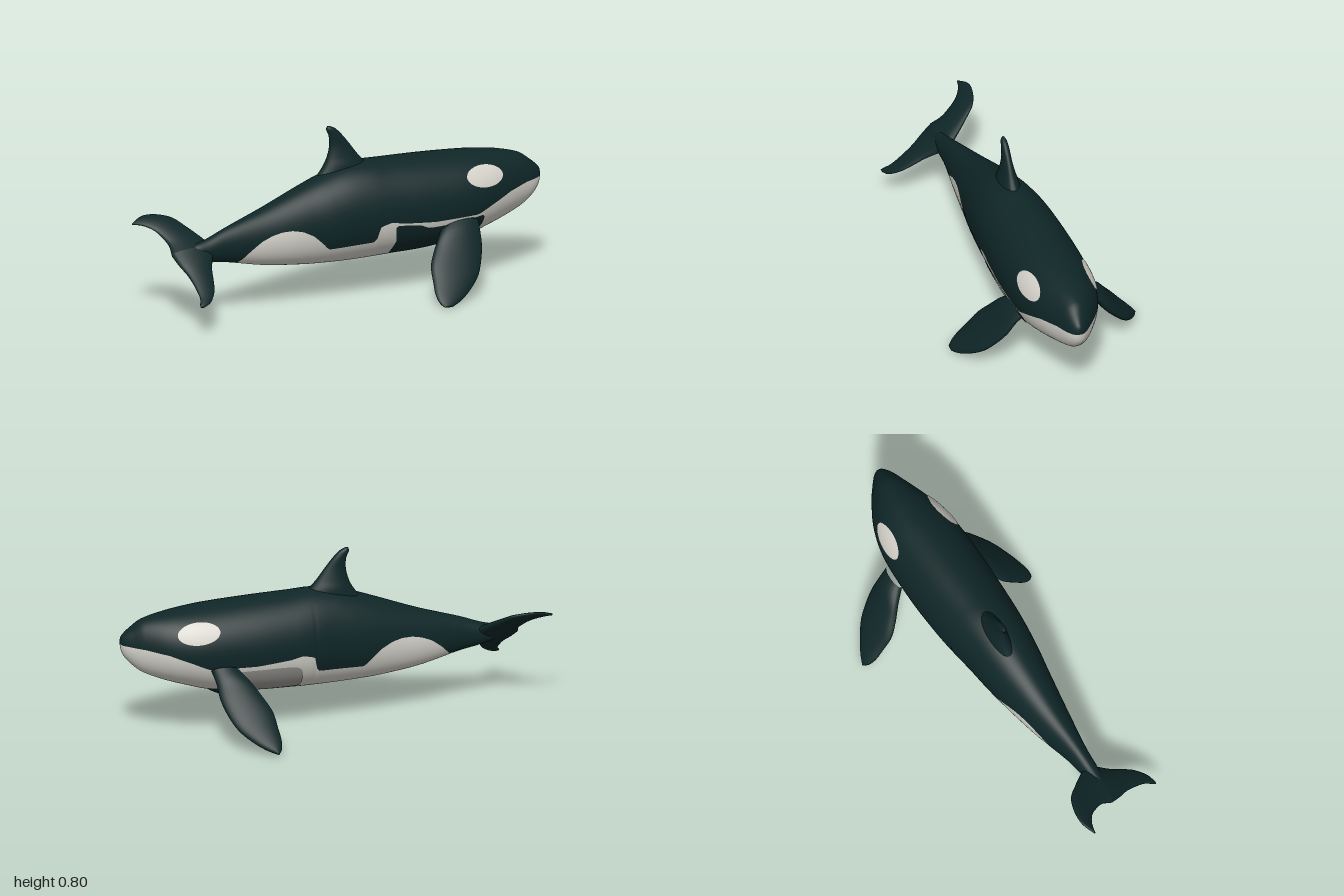
import * as THREE from 'three';

const dark = new THREE.MeshStandardMaterial({ color: 0x0f2627 });
dark.name = 'dark teal skin';
const pale = new THREE.MeshStandardMaterial({ color: 0xd6d4cc });
pale.name = 'pale belly';
const grey = new THREE.MeshStandardMaterial({ color: 0x9a9894 });
grey.name = 'grey flank';

// Body stations: x, top y, bottom y, z min, z max
const stations = [
  [-0.82, 0.32, 0.32, 0.12, 0.12], [-0.77, 0.352, 0.288, 0.095, 0.145],
  [-0.7, 0.372, 0.268, 0.077, 0.152], [-0.6, 0.41, 0.25, 0.055, 0.153],
  [-0.4, 0.475, 0.205, -0.01, 0.172], [-0.2, 0.55, 0.18, -0.065, 0.192],
  [-0.1, 0.585, 0.174, -0.088, 0.203], [0, 0.613, 0.17, -0.107, 0.21],
  [0.1, 0.624, 0.169, -0.128, 0.214], [0.2, 0.62, 0.17, -0.145, 0.215],
  [0.4, 0.612, 0.176, -0.165, 0.212], [0.6, 0.6, 0.2, -0.17, 0.198],
  [0.7, 0.59, 0.228, -0.16, 0.176], [0.8, 0.575, 0.26, -0.13, 0.138],
  [0.9, 0.548, 0.302, -0.077, 0.092], [0.95, 0.512, 0.342, -0.042, 0.07],
  [0.98, 0.486, 0.378, -0.018, 0.05], [0.993, 0.47, 0.408, -0.002, 0.034],
  [1, 0.448, 0.448, 0.016, 0.016],
];

// Height of the colour border along the flank: x, y
const border = [
  [-0.82, 0], [-0.57, 0.2], [-0.55, 0.245], [-0.5, 0.3], [-0.45, 0.34], [-0.4, 0.363],
  [-0.35, 0.376], [-0.3, 0.378], [-0.25, 0.368], [-0.2, 0.343], [-0.15, 0.298],
  [-0.12, 0.266], [0.1, 0.275], [0.115, 0.295], [0.125, 0.35], [0.18, 0.365],
  [0.24, 0.352], [0.4, 0.338], [0.62, 0.34], [0.7, 0.375], [0.8, 0.412], [0.9, 0.43], [1, 0.436],
];

function segment(table, x) {
  let i = 0;
  while (i < table.length - 2 && x > table[i + 1][0]) i++;
  return i;
}

// Smooth (Hermite) value of one station column at x
function profile(x, col) {
  const i = segment(stations, x);
  const slope = (k) => {
    const a = stations[Math.max(k - 1, 0)], b = stations[Math.min(k + 1, stations.length - 1)];
    return (b[col] - a[col]) / (b[0] - a[0]);
  };
  const a = stations[i], b = stations[i + 1], w = b[0] - a[0], t = (x - a[0]) / w;
  const t2 = t * t, t3 = t2 * t;
  return (2 * t3 - 3 * t2 + 1) * a[col] + (t3 - 2 * t2 + t) * w * slope(i)
    + (3 * t2 - 2 * t3) * b[col] + (t3 - t2) * w * slope(i + 1);
}

function ellipse(x) {
  const [top, bottom, z0, z1] = [1, 2, 3, 4].map((c) => profile(x, c));
  return { y: (top + bottom) / 2, h: Math.max((top - bottom) / 2, 1e-5), z: (z0 + z1) / 2, w: (z1 - z0) / 2 };
}

// Angle from the keel at which the cross-section reaches height y
function angleAt(e, y) {
  return Math.acos(THREE.MathUtils.clamp((e.y - y) / e.h, -0.9998, 0.9998));
}

function makeGeometry(positions, index) {
  const g = new THREE.BufferGeometry();
  g.setAttribute('position', new THREE.Float32BufferAttribute(positions, 3));
  g.setIndex(index);
  g.computeVertexNormals();
  return g;
}

// Body: elliptical rings whose points are split at the colour border
function bodyMesh() {
  const rings = 190, low = 28, high = 36, n = low + high;
  const positions = [], paleFaces = [], darkFaces = [];
  for (let i = 0; i <= rings; i++) {
    const x = -0.82 + 1.82 * Math.sin((i / rings) * Math.PI / 2);
    const e = ellipse(x), k = segment(border, x), a = border[k], b = border[k + 1];
    const split = angleAt(e, THREE.MathUtils.mapLinear(x, a[0], b[0], a[1], b[1]));
    for (let j = 0; j < n; j++) {
      const angle = j <= low ? -split + 2 * split * j / low
        : split + (2 * Math.PI - 2 * split) * (j - low) / high;
      positions.push(x, e.y - e.h * Math.cos(angle), e.z + e.w * Math.sin(angle));
    }
  }
  for (let i = 0; i < rings; i++) {
    for (let j = 0; j < n; j++) {
      const a = i * n + j, b = i * n + (j + 1) % n;
      (j < low ? paleFaces : darkFaces).push(a, a + n, b, b, a + n, b + n);
    }
  }
  const g = makeGeometry(positions, [...paleFaces, ...darkFaces]);
  g.addGroup(0, paleFaces.length, 0);
  g.addGroup(paleFaces.length, darkFaces.length, 1);
  return new THREE.Mesh(g, [pale, dark]);
}

// Thin marking that follows the flank; outline runs counter-clockwise in x, y
function patch(outline, side, material, tension = 0.5) {
  const curve = new THREE.CatmullRomCurve3(outline.map(([x, y]) => new THREE.Vector3(x, y, 0)), true, 'catmullrom', tension);
  const pts = curve.getSpacedPoints(64).slice(0, 64), n = pts.length, rings = 8;
  const centre = pts.reduce((s, p) => s.add(p), new THREE.Vector3()).divideScalar(n);
  const positions = [], index = [];
  for (let r = 0; r <= rings; r++) {
    for (const p of pts) {
      const q = centre.clone().lerp(p, r / rings), e = ellipse(q.x), angle = angleAt(e, q.y);
      const lift = 0.004;
      positions.push(q.x, e.y - (e.h + lift) * Math.cos(angle), e.z + side * (e.w + lift) * Math.sin(angle));
    }
  }
  for (let r = 0; r < rings; r++) {
    for (let j = 0; j < n; j++) {
      const a = r * n + j, b = r * n + (j + 1) % n;
      if (side > 0) index.push(a, a + n, b, b, a + n, b + n);
      else index.push(a, b, a + n, b, b + n, a + n);
    }
  }
  return new THREE.Mesh(makeGeometry(positions, index), material);
}

// Fin: lens-shaped sections from root to tip, each { lead, trail, t }
function blade(sections) {
  const leads = new THREE.CatmullRomCurve3(sections.map((s) => s.lead));
  const trails = new THREE.CatmullRomCurve3(sections.map((s) => s.trail));
  const thick = new THREE.CatmullRomCurve3(sections.map((s, i) => new THREE.Vector3(i, s.t, 0)));
  const first = sections[0], last = sections[sections.length - 1];
  const span = last.lead.clone().add(last.trail).sub(first.lead).sub(first.trail);
  const normal = first.lead.clone().sub(first.trail).cross(span).normalize();
  const steps = 32, n = 24, positions = [], index = [];
  for (let i = 0; i <= steps + 1; i++) {
    const u = Math.min(i / steps, 1), size = i > steps ? 0 : 1;
    const a = leads.getPoint(u), b = trails.getPoint(u), t = thick.getPoint(u).y;
    const mid = a.clone().add(b).multiplyScalar(0.5), half = a.sub(b).multiplyScalar(0.5);
    for (let j = 0; j < n; j++) {
      const f = (j / n) * Math.PI * 2;
      const p = mid.clone().addScaledVector(half, size * Math.cos(f)).addScaledVector(normal, size * t * Math.sin(f));
      positions.push(p.x, p.y, p.z);
    }
  }
  for (let i = 0; i <= steps; i++) {
    for (let j = 0; j < n; j++) {
      const a = i * n + j, b = i * n + (j + 1) % n;
      index.push(a, a + n, b, b, a + n, b + n);
    }
  }
  return new THREE.Mesh(makeGeometry(positions, index), dark);
}

export function createModel() {
  const model = new THREE.Group();
  model.name = 'whale';
  const add = (name, mesh) => { mesh.name = name; model.add(mesh); };
  const v = (x, y, z) => new THREE.Vector3(x, y, z);

  add('body', bodyMesh());

  // Dorsal fin: y, lead x, trail x, half thickness
  add('dorsalFin', blade([
    [0.56, 0.17, -0.13, 0.05], [0.62, 0.115, -0.086, 0.043], [0.66, 0.08, -0.068, 0.032],
    [0.71, 0.043, -0.057, 0.022], [0.76, 0.003, -0.06, 0.018], [0.79, -0.027, -0.072, 0.014],
    [0.804, -0.053, -0.068, 0.006],
  ].map(([y, a, b, t]) => ({ lead: v(a, y, 0.042), trail: v(b, y, 0.042), t }))));

  // Flippers: y, z, lead x, trail x, half thickness
  const flipper = [
    [0.33, 0.15, 0.63, 0.47, 0.03], [0.28, 0.2, 0.618, 0.42, 0.032], [0.22, 0.24, 0.61, 0.375, 0.032],
    [0.16, 0.285, 0.587, 0.337, 0.03], [0.1, 0.335, 0.548, 0.325, 0.026], [0.05, 0.38, 0.485, 0.318, 0.02],
    [0.02, 0.41, 0.43, 0.325, 0.014], [0.004, 0.428, 0.385, 0.34, 0.006],
  ];
  add('frontFlipper', blade(flipper.map(([y, z, a, b, t]) => ({ lead: v(a, y, z), trail: v(b, y, z), t }))));
  add('backFlipper', blade(flipper.map(([y, z, a, b, t]) => (
    { lead: v(a - 0.015, y + 0.008, -z - 0.015), trail: v(b + 0.025, y + 0.008, -z - 0.015), t }))));

  // Flukes on a rolled plane: lead x, lead z, trail x, trail z, half thickness
  const onPlane = (x, z) => v(x, 0.32 - 0.72 * (z - 0.12), z);
  const fluke = (rows) => blade(rows.map(([a, az, b, bz, t]) => ({ lead: onPlane(a, az), trail: onPlane(b, bz), t })));
  add('upperFluke', fluke([
    [-0.66, 0.115, -0.875, 0.12, 0.032], [-0.7, 0.06, -0.868, 0.075, 0.026], [-0.75, 0, -0.88, 0.04, 0.02],
    [-0.8, -0.05, -0.905, 0, 0.015], [-0.88, -0.075, -0.94, -0.025, 0.011],
    [-0.94, -0.073, -0.972, -0.036, 0.008], [-0.994, -0.047, -0.998, -0.04, 0.004],
  ]));
  add('lowerFluke', fluke([
    [-0.66, 0.115, -0.875, 0.12, 0.032], [-0.69, 0.16, -0.86, 0.17, 0.026], [-0.715, 0.21, -0.84, 0.22, 0.02],
    [-0.73, 0.26, -0.83, 0.28, 0.015], [-0.75, 0.31, -0.83, 0.33, 0.011],
    [-0.79, 0.355, -0.843, 0.36, 0.008], [-0.825, 0.37, -0.845, 0.371, 0.004],
  ]));

  // Oval eye markings on both sides
  const oval = Array.from({ length: 12 }, (_, i) => {
    const f = (i / 12) * Math.PI * 2, dx = 0.097 * Math.cos(f);
    return [0.665 + dx, 0.505 + 0.045 * Math.sin(f) - 0.06 * dx];
  });
  add('frontEyeMarking', patch(oval, 1, pale));
  add('backEyeMarking', patch(oval, -1, pale));

  // Flank markings behind the flippers
  add('frontFlankMarking', patch([
    [0.2, 0.2], [0.34, 0.195], [0.5, 0.21], [0.64, 0.27], [0.65, 0.335], [0.52, 0.318],
    [0.37, 0.315], [0.32, 0.335], [0.2, 0.345], [0.21, 0.27],
  ], 1, dark, 0.2));
  add('backFlankMarking', patch([
    [0.18, 0.22], [0.22, 0.2], [0.5, 0.205], [0.57, 0.24], [0.56, 0.31], [0.4, 0.32], [0.2, 0.31],
  ], -1, grey, 0.4));
  return model;
}
